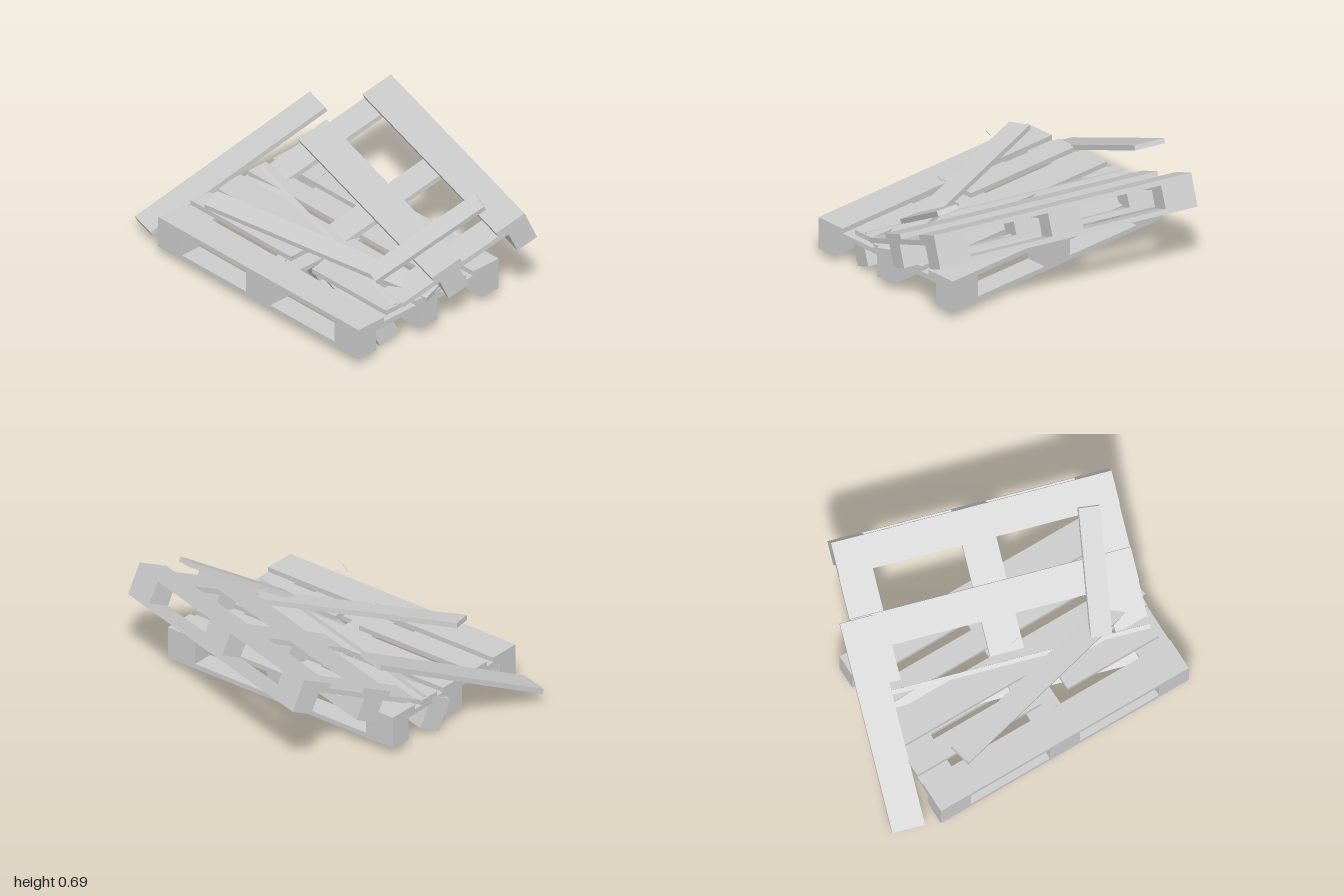
import * as THREE from 'three';

const material = new THREE.MeshStandardMaterial({ color: 0xcccccc, flatShading: true });

// Pallet proportions
const L = 1.61, D = 1.07, T = 0.0295, BLOCK = 0.1045;
const WIDE = 0.194, NARROW = 0.134;
const GAP = (D - 3 * WIDE - 2 * NARROW) / 4;

function box(parent, name, size, pos, rot = [0, 0, 0]) {
  const mesh = new THREE.Mesh(new THREE.BoxGeometry(...size), material);
  mesh.name = name;
  mesh.position.set(...pos);
  mesh.rotation.set(rot[0], rot[1], rot[2], 'YXZ');
  parent.add(mesh);
  return mesh;
}

// deck: for each of the five top boards (front to back), a list of [startX, endX] pieces
function makePallet(name, deck) {
  const pallet = new THREE.Group();
  pallet.name = name;
  const columns = [-1, 0, 1].map(i => i * (L - WIDE) / 2);
  const rows = [-1, 0, 1].map(i => i * (D - NARROW) / 2);

  // Bottom runners with their blocks
  for (const z of rows) {
    box(pallet, 'runner', [L, T, NARROW], [0, T / 2, z]);
    for (const x of columns) {
      box(pallet, 'block', [WIDE, BLOCK, NARROW], [x, T + BLOCK / 2, z]);
    }
  }

  // Cross bars
  for (const x of columns) {
    box(pallet, 'crossBar', [WIDE, T, D], [x, 1.5 * T + BLOCK, 0]);
  }

  // Top boards, alternating wide and narrow
  let front = D / 2;
  deck.forEach((pieces, i) => {
    const w = i % 2 ? NARROW : WIDE;
    for (const [a, b] of pieces) {
      box(pallet, 'topBoard', [b - a, T, w], [(a + b) / 2, 2.5 * T + BLOCK, front - w / 2]);
    }
    front -= w + GAP;
  });
  return pallet;
}

export function createModel() {
  const model = new THREE.Group();
  model.name = 'brokenPallets';
  const full = [[-L / 2, L / 2]];

  // Flat pallet with one snapped board
  const lower = makePallet('lowerPallet', [
    full, [[-L / 2, 0.0], [0.17, 0.765]], full, full, full,
  ]);
  lower.position.set(0.04, 0.05, 0.235);
  lower.rotation.y = 0.062;
  model.add(lower);

  // Leaning pallet with two boards missing
  const upper = makePallet('leaningPallet', [full, [], full, [], full]);
  upper.position.set(0.108, 0.214, -0.166);
  upper.rotation.set(0.415, -0.221, 0, 'YXZ');
  model.add(upper);

  // Loose boards
  box(model, 'looseLongBoard', [0.187, T, 1.2], [-0.79, 0.325, 0.24], [0.43, -0.22, 0]);
  box(model, 'looseShortBoard', [0.122, T, 0.73], [0.65, 0.455, 0.04], [0.52, -0.38, -0.19]);
  box(model, 'looseDiagonalBoard', [1.44, T, NARROW], [0.17, 0.312, 0.39], [0.12, 0.319, -0.1]);

  // Nails
  for (const [x, y, z] of [[0.033, 0.665, 0.26], [0.105, 0.277, 0.545], [0.105, 0.277, 0.59]]) {
    const nail = new THREE.Mesh(new THREE.CylinderGeometry(0.002, 0.002, 0.05, 6), material);
    nail.name = 'nail';
    nail.position.set(x, y, z);
    nail.rotation.z = -0.7;
    model.add(nail);
  }
  return model;
}
